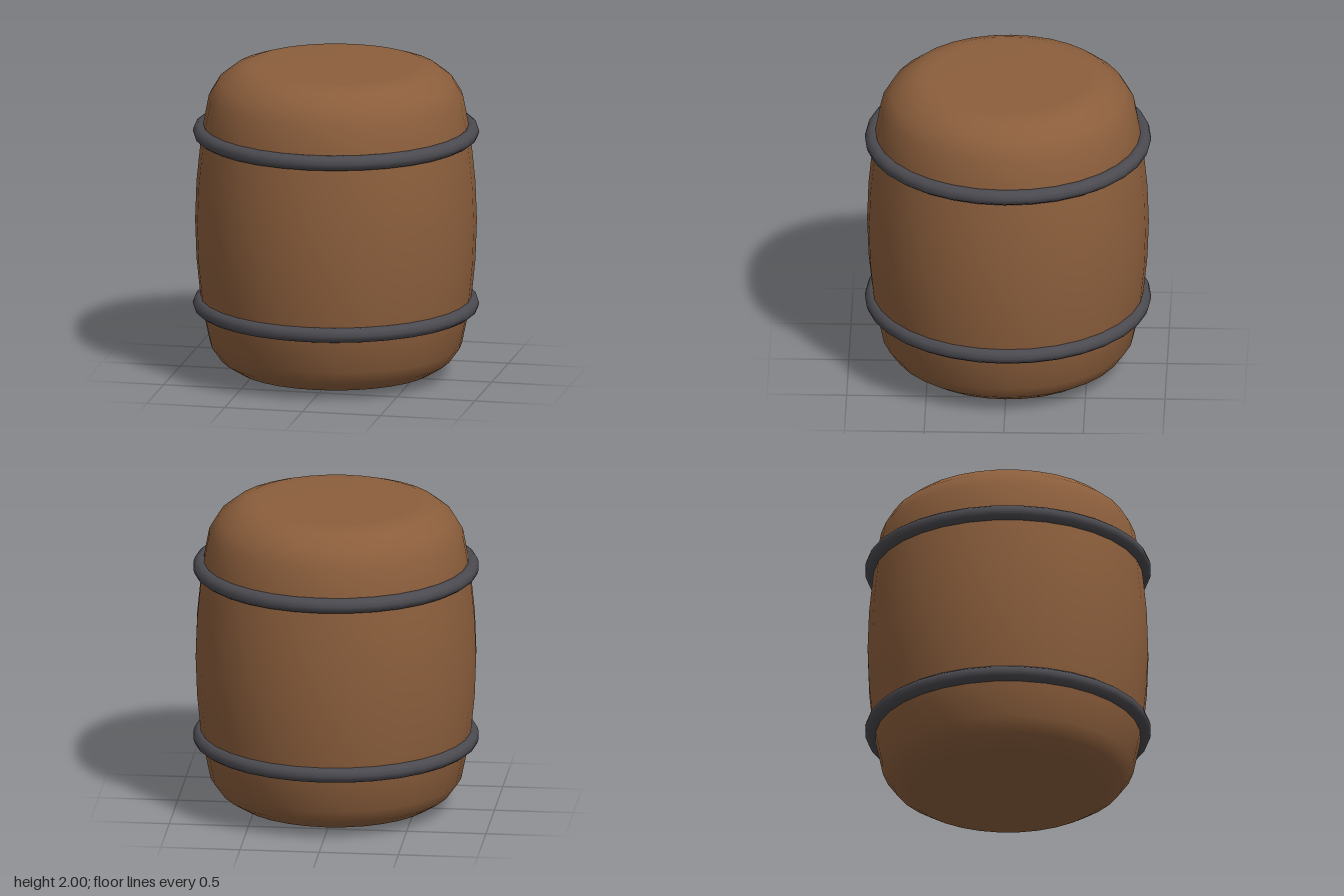
import * as THREE from 'three';

export function createModel() {
  const barrel = new THREE.Group();
  barrel.name = 'barrel';
  const wood = new THREE.MeshStandardMaterial({ color: 0x8b5e3c });
  const iron = new THREE.MeshStandardMaterial({ color: 0x4a4a50 });

  // Bulging body with softly rounded ends: [radius, height]
  const profile = [
    [0, 0], [0.35, 0.005], [0.5, 0.02], [0.63, 0.05], [0.725, 0.11], [0.79, 0.2],
    [0.83, 0.39], [0.853, 0.52], [0.876, 0.75], [0.885, 1], [0.876, 1.25],
    [0.853, 1.48], [0.83, 1.64], [0.8, 1.8], [0.74, 1.9], [0.65, 1.97],
    [0.57, 1.997], [0.5, 2], [0, 2],
  ].map(([r, y]) => new THREE.Vector2(r, y));
  const body = new THREE.Mesh(new THREE.LatheGeometry(profile, 32), wood);
  body.name = 'body';
  barrel.add(body);

  // Two iron hoops around the body
  const hoopGeometry = new THREE.TorusGeometry(0.852, 0.048, 10, 32).rotateX(Math.PI / 2);
  [['lowerHoop', 0.463], ['upperHoop', 1.575]].forEach(([name, y]) => {
    const hoop = new THREE.Mesh(hoopGeometry, iron);
    hoop.name = name;
    hoop.position.y = y;
    barrel.add(hoop);
  });

  return barrel;
}
